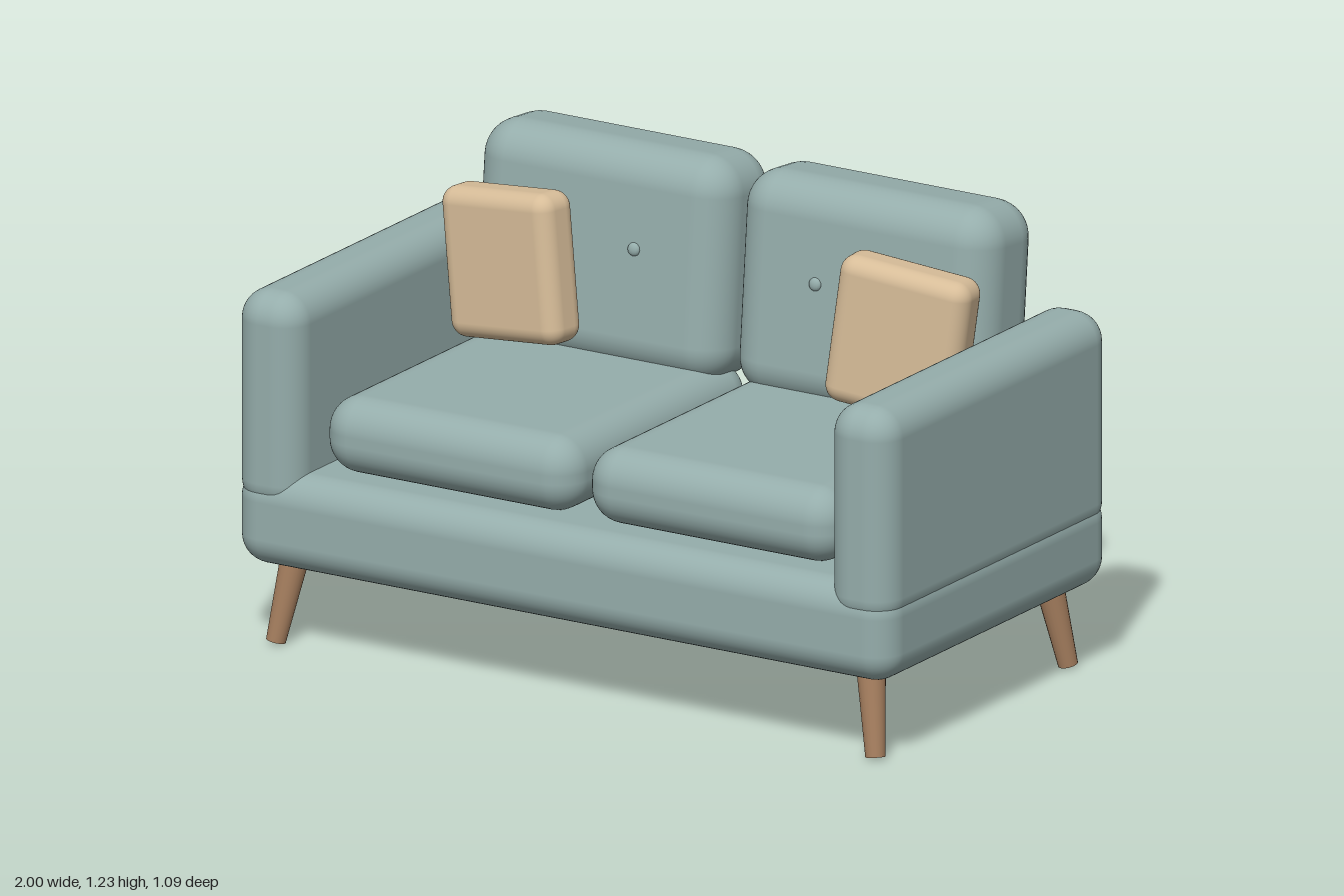
import * as THREE from 'three';
import { RoundedBoxGeometry } from 'three/addons/geometries/RoundedBoxGeometry.js';

const fabric = new THREE.MeshStandardMaterial({ name: 'sage fabric', color: 0x95adab });
const linen = new THREE.MeshStandardMaterial({ name: 'tan linen', color: 0xd6bc98 });
const wood = new THREE.MeshStandardMaterial({ name: 'brown wood', color: 0xa67f5f });

function padded(name, size, radius, material, position) {
  const mesh = new THREE.Mesh(new RoundedBoxGeometry(...size, 5, radius), material);
  mesh.name = name;
  mesh.position.set(...position);
  return mesh;
}

// Tapered round leg splayed outward toward its corner
function leg(name, sx, sz) {
  const foot = new THREE.Vector3(0.913 * sx, 0.006, 0.462 * sz);
  const axis = new THREE.Vector3(-0.035 * sx, 0.22, -0.035 * sz).normalize();
  const length = 0.25;
  const mesh = new THREE.Mesh(new THREE.CylinderGeometry(0.039, 0.026, length, 20), wood);
  mesh.name = name;
  mesh.quaternion.setFromUnitVectors(new THREE.Vector3(0, 1, 0), axis);
  mesh.position.copy(foot).addScaledVector(axis, length / 2);
  return mesh;
}

// Back cushion leaning backward, with two buttons on its front
function backCushion(name, s) {
  const group = new THREE.Group();
  group.name = name;
  group.add(padded('backPad', [0.77, 0.6, 0.28], 0.1, fabric, [0, 0, 0]));
  for (const x of [-0.124, 0.124]) {
    const button = new THREE.Mesh(new THREE.SphereGeometry(0.018, 14, 10), fabric);
    button.name = 'button';
    button.position.set(x, 0.035, 0.14);
    button.scale.z = 0.6;
    group.add(button);
  }
  group.position.set(0.4 * s, 0.932, -0.388);
  group.rotation.x = -0.09;
  return group;
}

export function createModel() {
  const sofa = new THREE.Group();
  sofa.name = 'sofa';

  // Base slab
  sofa.add(padded('base', [2, 0.26, 1.09], 0.08, fabric, [0, 0.35, 0]));

  for (const [side, s] of [['left', 1], ['right', -1]]) {
    // Armrest and cushions
    sofa.add(padded(side + 'Arm', [0.195, 0.59, 1.09], 0.08, fabric, [0.9025 * s, 0.665, 0]));
    sofa.add(padded(side + 'SeatCushion', [0.77, 0.205, 0.9], 0.09, fabric, [0.4 * s, 0.5825, 0.02]));
    sofa.add(backCushion(side + 'BackCushion', s));

    // Loose throw pillow, turned inward and tipped
    const pillow = padded(side + 'ThrowPillow', [0.37, 0.4, 0.13], 0.045, linen, [0.597 * s, 0.91, -0.167]);
    pillow.rotation.set(-0.03, 0.14 * s, -0.12 * s);
    sofa.add(pillow);

    // Front and back legs
    sofa.add(leg(side + 'FrontLeg', s, 1), leg(side + 'BackLeg', s, -1));
  }
  return sofa;
}
